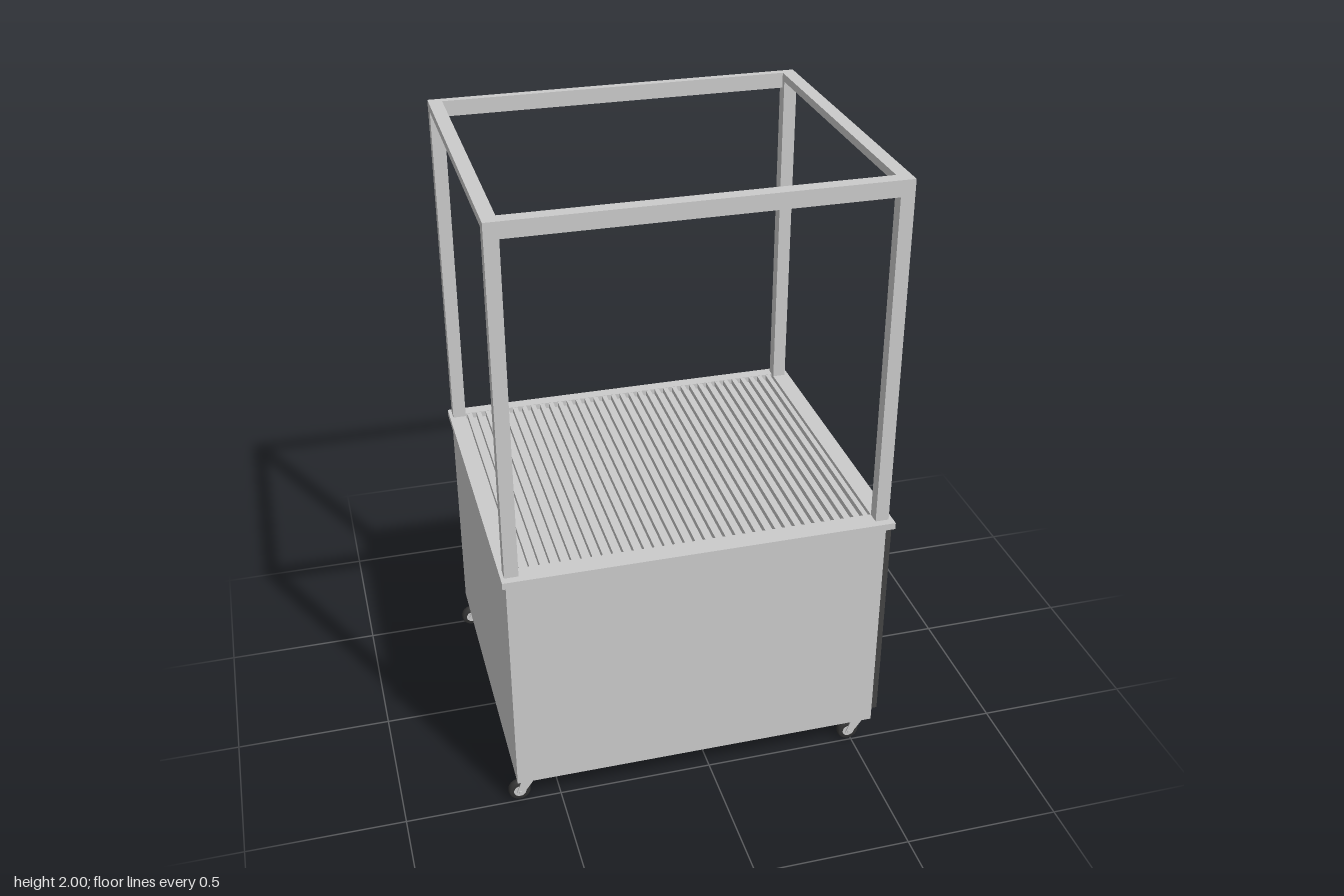
import * as THREE from 'three';

const grey = new THREE.MeshStandardMaterial({ color: 0xcccccc });
const dark = new THREE.MeshStandardMaterial({ color: 0x444444 });
const rubber = new THREE.MeshStandardMaterial({ color: 0x333333 });

function add(parent, name, geometry, material = grey) {
  const mesh = new THREE.Mesh(geometry, material);
  mesh.name = name;
  parent.add(mesh);
  return mesh;
}

// Box given by its lower and upper limits on each axis
function box(parent, name, [x0, x1], [y0, y1], [z0, z1], material) {
  const mesh = add(parent, name, new THREE.BoxGeometry(x1 - x0, y1 - y0, z1 - z0), material);
  mesh.position.set((x0 + x1) / 2, (y0 + y1) / 2, (z0 + z1) / 2);
  return mesh;
}

// Swivel caster, hung from y = 0.1 with the wheel trailing towards -x
function createCaster() {
  const caster = new THREE.Group();
  caster.name = 'caster';
  const wheelX = -0.03, wheelY = 0.036;
  add(caster, 'swivelHead', new THREE.CylinderGeometry(0.024, 0.021, 0.018, 24)).position.y = 0.091;

  const tyre = new THREE.LatheGeometry([
    [0.02, -0.013], [0.031, -0.013], [0.035, -0.008], [0.036, 0],
    [0.035, 0.008], [0.031, 0.013], [0.02, 0.013],
  ].map(([r, y]) => new THREE.Vector2(r, y)), 32).rotateX(Math.PI / 2);
  add(caster, 'tyre', tyre, rubber).position.set(wheelX, wheelY, 0);
  const hub = new THREE.CylinderGeometry(0.021, 0.021, 0.024, 24).rotateX(Math.PI / 2);
  add(caster, 'hub', hub).position.set(wheelX, wheelY, 0);

  // Tapered cheeks either side of the wheel
  const cheek = new THREE.Shape();
  cheek.moveTo(-0.022, 0.085);
  cheek.lineTo(0.02, 0.085);
  cheek.lineTo(wheelX + 0.011, wheelY - 0.006);
  cheek.absarc(wheelX, wheelY, 0.011, -0.5, -Math.PI, true);
  cheek.closePath();
  for (const z of [-0.019, 0.015]) {
    const geometry = new THREE.ExtrudeGeometry(cheek, { depth: 0.004, bevelEnabled: false });
    add(caster, 'forkCheek', geometry).position.z = z;
  }
  box(caster, 'forkBridge', [-0.022, 0.02], [0.078, 0.086], [-0.019, 0.019]);
  const axle = new THREE.CylinderGeometry(0.005, 0.005, 0.044, 12).rotateX(Math.PI / 2);
  add(caster, 'axle', axle).position.set(wheelX, wheelY, 0);
  return caster;
}

export function createModel() {
  const model = new THREE.Group();
  model.name = 'grillCart';

  // Cabinet
  box(model, 'cabinet', [-0.643, 0.553], [0.1, 0.86], [-0.532, 0.53]);

  // Worktop rim around the grate
  const left = -0.6, right = 0.524, back = -0.504, front = 0.469;
  const rim = new THREE.Shape();
  rim.moveTo(-0.654, -0.537).lineTo(0.581, -0.537).lineTo(0.581, 0.546).lineTo(-0.654, 0.546).closePath();
  const opening = new THREE.Path();
  opening.moveTo(left, -front).lineTo(left, -back).lineTo(right, -back).lineTo(right, -front).closePath();
  rim.holes.push(opening);
  const rimGeometry = new THREE.ExtrudeGeometry(rim, { depth: 0.022, bevelEnabled: false });
  add(model, 'worktopRim', rimGeometry.rotateX(-Math.PI / 2)).position.y = 0.858;

  // Grate of parallel bars
  const bars = 35, pitch = (right - left) / bars;
  const grate = new THREE.Group();
  grate.name = 'grate';
  model.add(grate);
  for (let i = 0; i < bars; i++) {
    const x = left + (i + 0.25) * pitch;
    box(grate, 'grateBar', [x, x + pitch / 2], [0.858, 0.879], [back, front]);
  }

  // Upper frame: four posts, deep bars along x, flat bars along z
  const frame = new THREE.Group();
  frame.name = 'upperFrame';
  model.add(frame);
  for (const x of [[-0.643, left], [right, 0.567]]) {
    box(frame, 'post', x, [0.88, 1.975], [-0.528, -0.486]);
    box(frame, 'post', x, [0.88, 1.975], [0.472, 0.512]);
    box(frame, 'sideBar', x, [1.975, 2], [-0.53, 0.512]);
  }
  box(frame, 'frontBar', [left, right], [1.95, 2], [front, 0.512]);
  box(frame, 'backBar', [left, right], [1.95, 2], [-0.53, back]);

  // Double doors with bowed handles
  for (const [z0, z1, handleZ] of [[0.028, 0.506, 0.066], [-0.502, -0.026, -0.067]]) {
    box(model, 'door', [0.553, 0.582], [0.124, 0.845], [z0, z1], dark);
    const handle = new THREE.TorusGeometry(0.083, 0.024, 16, 32, Math.PI).rotateZ(-Math.PI / 2);
    handle.scale(0.78, 1, 0.5);
    add(model, 'doorHandle', handle).position.set(0.578, 0.472, handleZ);
  }

  // Casters under each corner
  for (const x of [-0.602, 0.52]) {
    for (const z of [-0.484, 0.484]) {
      const caster = createCaster();
      caster.position.set(x, 0, z);
      model.add(caster);
    }
  }
  return model;
}
